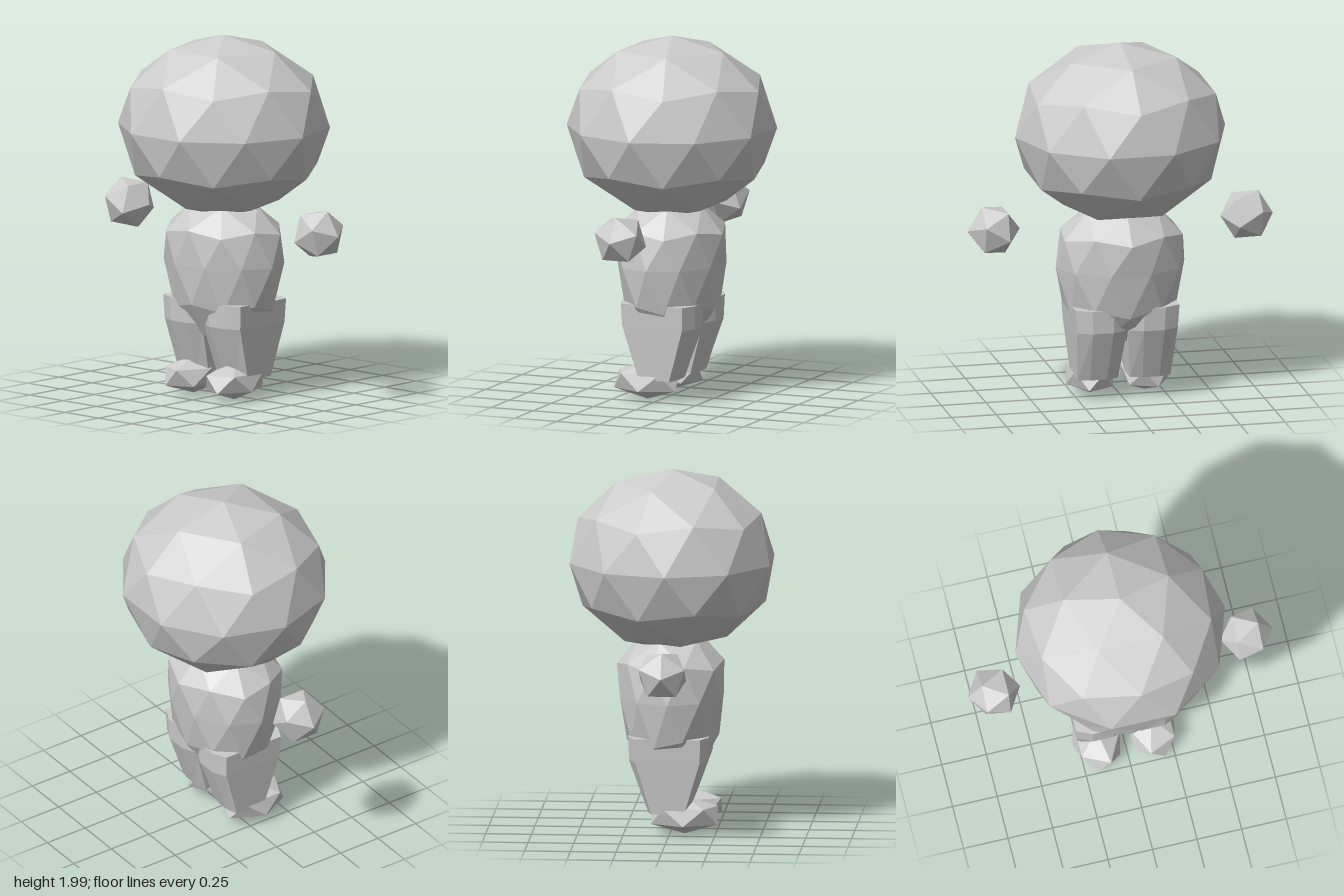
import * as THREE from 'three';

const material = new THREE.MeshStandardMaterial({ color: 0xcccccc, flatShading: true });

// Faceted ball standing on a vertex; its upper ring has a vertex at -z, turned by `turn` about y.
function ball(detail, turn = 0) {
  const geometry = new THREE.IcosahedronGeometry(1, detail);
  geometry.rotateX(Math.atan((1 + Math.sqrt(5)) / 2));
  return geometry.rotateY(turn);
}

// Move every vertex by a rule that edits the vector in place.
function reshape(geometry, rule) {
  const p = geometry.attributes.position;
  const v = new THREE.Vector3();
  for (let i = 0; i < p.count; i++) {
    rule(v.fromBufferAttribute(p, i));
    p.setXYZ(i, v.x, v.y, v.z);
  }
  return geometry;
}

function legGeometry(side) {
  // Sections, bottom to top: y, centre x, half width, half depth
  const sections = [
    [0.13, 0.147, 0.113, 0.11],
    [0.42, 0.142, 0.14, 0.215],
    [0.55, 0.145, 0.145, 0.22],
  ];
  const geometry = new THREE.CylinderGeometry(1, 1, 2, 8, 2, false, Math.PI / 8);
  return reshape(geometry, (v) => {
    const [y, cx, w, d] = sections[Math.round(v.y) + 1];
    const outer = Math.abs(v.x) > 0.6; // corners of the side faces
    // Cap centres stay in the middle
    const z = Math.abs(v.z) < 0.1 ? 0 : Math.sign(v.z) * d * (outer ? 0.82 : 1);
    v.set(side * cx + (v.x / 0.924) * w, y, z - 0.005);
  });
}

export function createModel() {
  const model = new THREE.Group();
  const add = (name, geometry) => {
    geometry.computeVertexNormals();
    const mesh = new THREE.Mesh(geometry, material);
    mesh.name = name;
    model.add(mesh);
  };

  // Large round head
  add('head', ball(1).scale(0.588, 0.5, 0.575).translate(0, 1.5, 0));

  // Torso: broader chest above, longer belly below with a blunt underside
  add('torso', reshape(ball(1), (v) => {
    const chest = v.y > 0.1;
    v.x *= 0.36 * (chest ? 1.08 : 1);
    v.z *= 0.29 * (chest ? 1.16 : 1);
    v.y = Math.max(0.33, 0.75 + v.y * (chest ? 0.38 : 0.475));
  }));

  // Mirrored limbs
  for (const side of [1, -1]) {
    const label = side > 0 ? 'left' : 'right';
    const turn = side * Math.PI / 2;
    add(label + 'Leg', legGeometry(side));
    add(label + 'Foot', ball(0, turn).scale(0.147, 0.103, 0.212).translate(side * 0.153, 0.112, 0.08));
    // Floating hands, poles pointing sideways
    add(label + 'Hand', ball(0, turn).rotateZ(-turn).scale(0.147, 0.147, 0.147).translate(side * 0.708, 0.985, 0));
  }
  return model;
}
